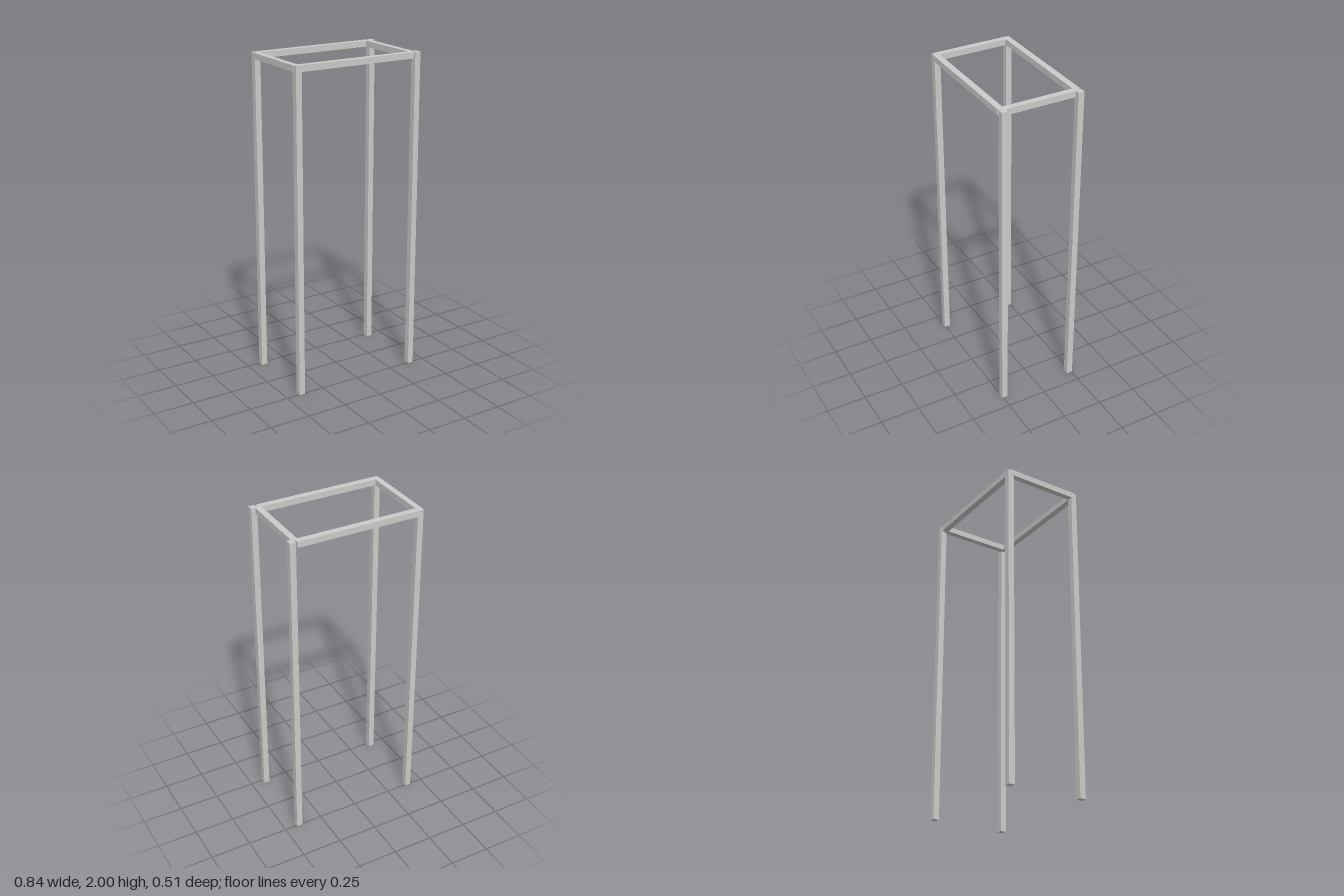
import * as THREE from 'three';

const material = new THREE.MeshStandardMaterial({ color: 0xcccccc, flatShading: true });

// Square bar given by its extents along each axis
function bar(name, [x0, x1], [y0, y1], [z0, z1]) {
  const mesh = new THREE.Mesh(new THREE.BoxGeometry(x1 - x0, y1 - y0, z1 - z0), material);
  mesh.position.set((x0 + x1) / 2, (y0 + y1) / 2, (z0 + z1) / 2);
  mesh.name = name;
  return mesh;
}

export function createModel() {
  const group = new THREE.Group();
  group.name = 'openFrame';
  const rail = [1.963, 2];

  // Posts and long rails, front and back
  for (const [side, z] of [['front', [0.218, 0.256]], ['back', [-0.256, -0.218]]]) {
    group.add(bar(side + 'LeftPost', [0.384, 0.421], [0, 2], z));
    group.add(bar(side + 'RightPost', [-0.417, -0.38], [0, 2], z));
    group.add(bar(side + 'Rail', [-0.399, 0.375], rail, z));
  }

  // Short rails, running between the post centres
  group.add(bar('leftRail', [0.358, 0.395], rail, [-0.236, 0.236]));
  group.add(bar('rightRail', [-0.421, -0.385], rail, [-0.236, 0.236]));

  return group;
}
